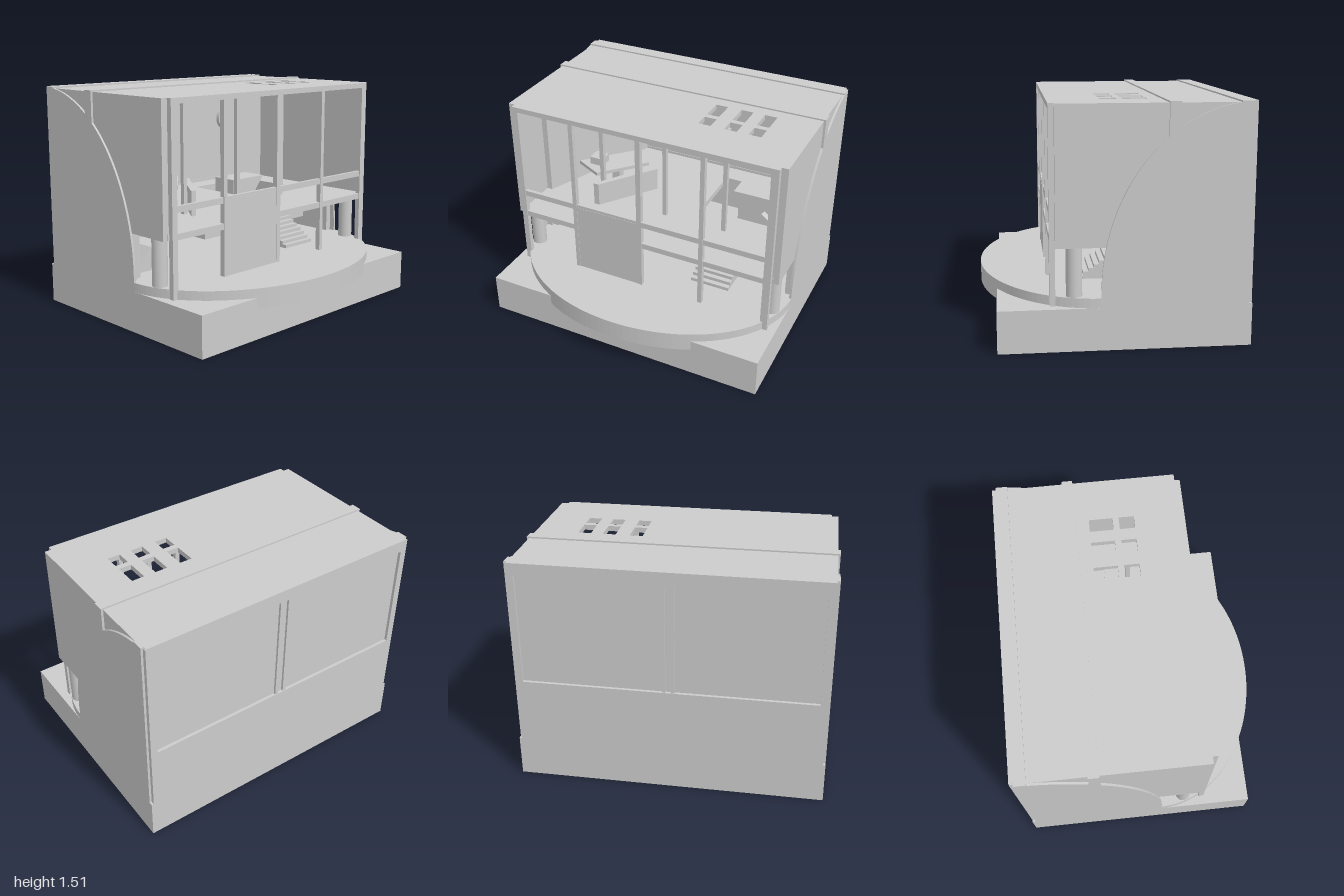
import * as THREE from 'three';

const mat = new THREE.MeshStandardMaterial({ color: 0xcccccc, flatShading: true });
const smooth = new THREE.MeshStandardMaterial({ color: 0xcccccc });

export function createModel() {
  const model = new THREE.Group();

  const add = (name, geo, material = mat) => {
    const m = new THREE.Mesh(geo, material);
    m.name = name;
    model.add(m);
    return m;
  };
  // box given by its limits on each axis
  const box = (name, x0, x1, y0, y1, z0, z1) => add(name,
    new THREE.BoxGeometry(x1 - x0, y1 - y0, z1 - z0)
      .translate((x0 + x1) / 2, (y0 + y1) / 2, (z0 + z1) / 2));
  const poly = pts => new THREE.Shape(pts.map(p => new THREE.Vector2(p[0], p[1])));
  const rect = (x0, x1, y0, y1) => poly([[x0, y0], [x1, y0], [x1, y1], [x0, y1]]);
  // shape drawn in (z, y), spanning x0..x1
  const sideways = (shape, x0, x1) =>
    new THREE.ExtrudeGeometry(shape, { depth: x1 - x0, bevelEnabled: false })
      .rotateY(-Math.PI / 2).translate(x1, 0, 0);
  // shape drawn in (x, -z), spanning y0..y1
  const upright = (shape, y0, y1) =>
    new THREE.ExtrudeGeometry(shape, { depth: y1 - y0, bevelEnabled: false, curveSegments: 48 })
      .rotateX(-Math.PI / 2).translate(0, y0, 0);

  // ground: plinth, raised floor and half-oval terrace
  box('plinth', -1, 1, 0, 0.27, -0.84, 0.72);
  box('groundFloor', -0.98, 0.98, 0.26, 0.33, -0.82, 0.09);
  const terrace = [];
  for (let i = 0; i <= 64; i++) {
    const a = Math.PI * (1 + i / 64);
    terrace.push([Math.cos(a), -0.085 + 0.752 * Math.sin(a)]);
  }
  add('terrace', upright(poly(terrace), 0.2, 0.33));

  // side walls: inner wall with a porch notch, outer plate with a curved edge
  const innerWall = poly([[-0.82, 0.27], [0.05, 0.27], [0.05, 0.64], [0.365, 0.64],
    [0.365, 1.5], [-0.82, 1.5]]);
  const curve = [[-0.815, 0.27], [0.09, 0.27]];
  for (let i = 0; i <= 32; i++) {
    const a = i / 32 * 1.543;
    curve.push([-0.84 + 0.93 * Math.cos(a), 0.36 + 1.147 * Math.sin(a)]);
  }
  for (const s of [1, -1]) {
    const span = (a, b) => s > 0 ? [a, b] : [-b, -a];
    add('sideWall', sideways(innerWall, ...span(0.94, 0.985)));
    add('curvedSidePlate', sideways(poly(curve), ...span(0.985, 1)));
    box('roofBeamEnd', ...span(0.98, 1), 1.25, 1.51, -0.38, -0.31);
    box('roofBeamEnd', ...span(0.98, 1), 1.45, 1.51, -0.815, -0.74);
    add('porchColumn', new THREE.CylinderGeometry(0.05, 0.05, 0.32, 32)
      .translate(s * 0.92, 0.485, 0.25), smooth);
  }

  // roof with six skylight openings and two raised cross beams
  const roof = poly([[-0.985, 0.82], [-0.985, -0.365], [-0.94, -0.365], [-0.94, -0.4],
    [0.94, -0.4], [0.94, -0.365], [0.985, -0.365], [0.985, 0.82]]);
  for (const x of [0.27, 0.45, 0.615]) {
    roof.holes.push(rect(x, x + 0.085, 0.07, 0.225));
    roof.holes.push(rect(x, x + 0.085, -0.07, 0.03));
  }
  add('roof', upright(roof, 1.465, 1.5));
  box('roofBeam', -0.98, 0.98, 1.47, 1.51, -0.38, -0.31);
  box('roofBeam', -0.98, 0.98, 1.47, 1.51, -0.84, -0.74);

  // back wall with a wide recessed window
  const back = rect(-0.985, 0.985, 0.27, 1.505);
  back.holes.push(rect(-0.94, 0.94, 0.7, 1.43));
  add('backWall', new THREE.ExtrudeGeometry(back, { depth: 0.04, bevelEnabled: false })
    .translate(0, 0, -0.84));
  box('backWindowPane', -0.95, 0.95, 0.69, 1.44, -0.82, -0.805);
  for (const x of [-0.03, 0.03]) {
    box('backWindowMullion', x - 0.012, x + 0.012, 0.7, 1.43, -0.835, -0.81);
  }

  // front frame
  for (const [x0, x1, y0] of [[-0.94, -0.9, 0.27], [-0.51, -0.48, 0.33],
    [-0.02, 0.015, 0.33], [0.435, 0.465, 0.33], [0.89, 0.94, 0.27]]) {
    box('frontPost', x0, x1, y0, 1.5, 0.365, 0.4);
  }
  box('frontRail', -0.94, 0.94, 0.81, 0.85, 0.37, 0.395);
  box('frontRail', -0.94, 0.94, 0.64, 0.68, 0.37, 0.395);
  box('entrancePanel', -0.49, 0, 0.33, 0.83, 0.375, 0.397);

  // upper floor with a stairwell opening, and inner posts
  const floor = rect(-0.95, 0.95, -0.37, 0.81);
  floor.holes.push(rect(0.2, 0.75, 0.15, 0.65));
  add('upperFloor', upright(floor, 0.64, 0.68));
  for (const x of [-0.495, 0, 0.45]) box('innerPost', x - 0.015, x + 0.015, 0.68, 1.47, -0.015, 0.015);

  // slanted left partitions, one per storey
  add('leftPartition', upright(poly([[-0.94, -0.07], [-0.9, -0.07], [-0.55, 0.8], [-0.59, 0.8]]), 0.68, 1.47));
  add('lowerLeftPartition', upright(poly([[-0.94, -0.03], [-0.9, -0.03], [-0.75, 0.4],
    [-0.52, 0.5], [-0.52, 0.54], [-0.79, 0.43]]), 0.33, 0.64));
  add('lowerLeftWedge', new THREE.ExtrudeGeometry(poly([[-0.87, 0.33], [-0.62, 0.33], [-0.75, 0.49]]),
    { depth: 0.25, bevelEnabled: false }).translate(0, 0, -0.3));

  // right partition with a round disc at its edge
  box('rightPartition', 0.545, 0.94, 0.68, 1.47, -0.7, -0.67);
  add('partitionDisc', new THREE.CylinderGeometry(0.09, 0.09, 0.03, 32)
    .rotateX(Math.PI / 2).translate(0.555, 1.19, -0.685), smooth);

  // upper-storey furniture
  add('upperCounter', upright(poly([[-0.52, -0.1], [-0.48, -0.1], [-0.2, 0.28], [-0.24, 0.31]]), 0.68, 0.85));
  add('upperTable', upright(poly([[-0.75, 0.1], [-0.55, 0], [-0.28, 0.3], [-0.45, 0.42]]), 0.85, 0.875));
  box('tableBlock', -0.66, -0.56, 0.875, 0.93, -0.2, -0.1);
  box('tableSupport', -0.53, -0.47, 0.68, 0.85, -0.25, -0.19);

  // stairs, landing and the flight above it
  for (let i = 0; i < 8; i++) {
    box('step', 0.3, 0.58, 0.33, 0.33 + 0.0237 * (i + 1), -0.1, 0.2 - 0.035 * i);
  }
  box('landing', 0.3, 0.82, 0.44, 0.52, -0.4, -0.09);
  box('landingSide', 0.08, 0.31, 0.44, 0.545, -0.4, -0.2);
  box('landingBase', 0.06, 0.87, 0.33, 0.41, -0.6, -0.4);
  add('upperFlight', new THREE.ExtrudeGeometry(
    poly([[0.36, 0.61], [0.58, 0.61], [0.69, 0.745], [0.36, 0.745]]),
    { depth: 0.2, bevelEnabled: false }).translate(0, 0, -0.6));
  add('flightBrace', new THREE.ExtrudeGeometry(poly([[0.4, 0.52], [0.7, 0.52], [0.58, 0.61], [0.4, 0.61]]),
    { depth: 0.05, bevelEnabled: false }).translate(0, 0, -0.45));

  return model;
}
